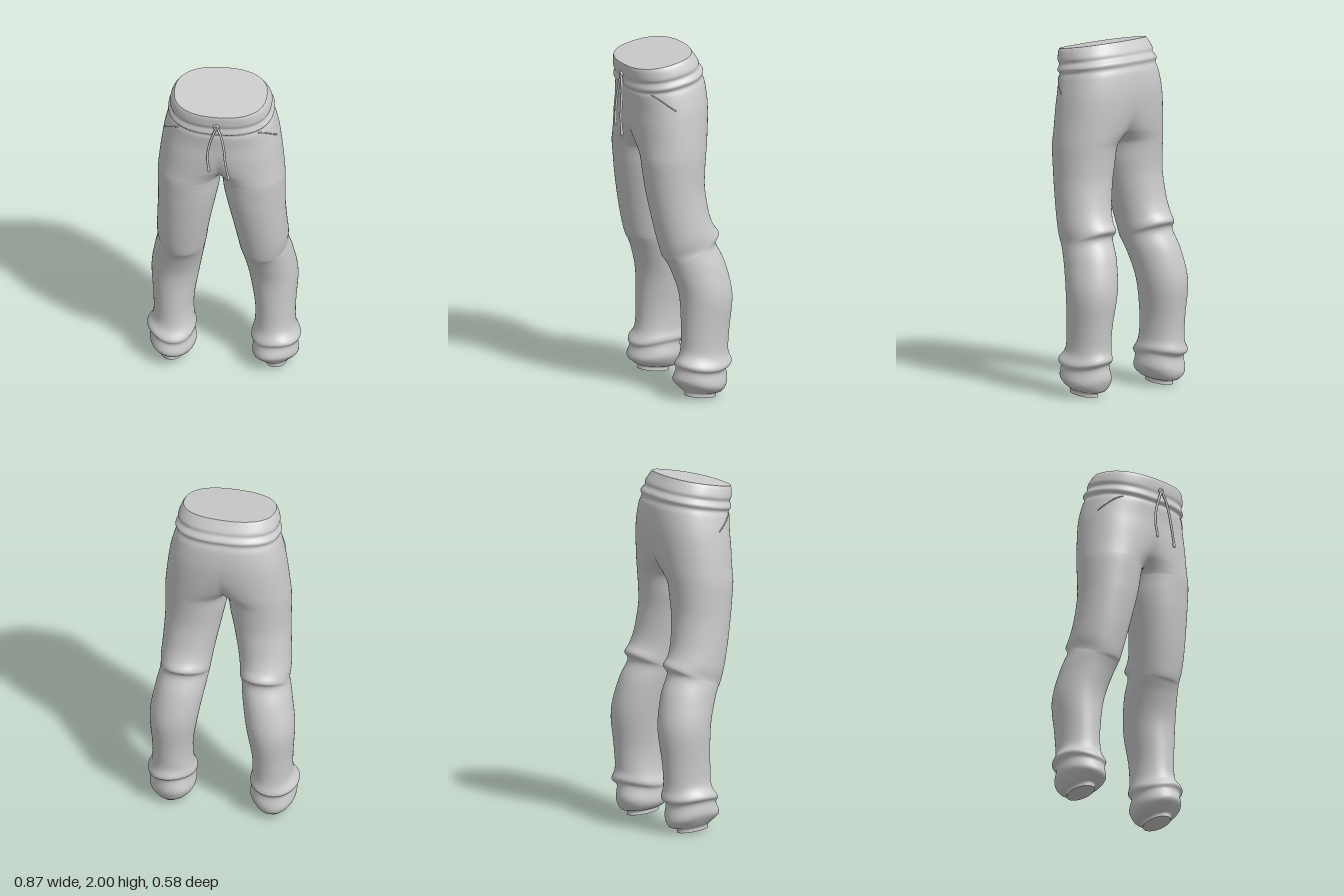
import * as THREE from 'three';
import { mergeVertices } from 'three/addons/utils/BufferGeometryUtils.js';

const V = (x, y, z) => new THREE.Vector3(x, y, z);

// Sections of one half: y, inner x, outer x, front z, back z, tilt (back raised).
// A negative inner x means the section is cut at the centre plane.
const BODY = [
  [1.965, -0.262, 0.262, 0.25, -0.135, 0.18],
  [1.945, -0.275, 0.275, 0.252, -0.147, 0.18],
  [1.905, -0.288, 0.288, 0.248, -0.172, 0.18],
  [1.88, -0.283, 0.283, 0.24, -0.178, 0.18],
  [1.85, -0.3, 0.3, 0.245, -0.2, 0.18],
  [1.825, -0.29, 0.29, 0.23, -0.195, 0.17],
  [1.79, -0.303, 0.303, 0.232, -0.21, 0.12],
  [1.7, -0.29, 0.325, 0.224, -0.217, 0.05],
  [1.6, -0.2, 0.34, 0.22, -0.207, 0],
  [1.5, -0.1, 0.352, 0.212, -0.19, 0],
  [1.45, -0.04, 0.357, 0.207, -0.178, 0],
  [1.4, 0, 0.36, 0.204, -0.167, 0],
];
const LEG = [
  [1.3, 0.015, 0.36, 0.193, -0.157, 0],
  [1.2, 0.035, 0.36, 0.18, -0.155, 0.03],
  [1.05, 0.065, 0.367, 0.15, -0.172, 0.15],
  [0.95, 0.082, 0.372, 0.122, -0.197, 0.3],
  [0.89, 0.09, 0.368, 0.102, -0.23, 0.35],
  [0.85, 0.097, 0.374, 0.082, -0.205, 0.33],
  [0.76, 0.112, 0.393, 0.053, -0.255, 0.15],
  [0.6, 0.14, 0.415, 0.015, -0.29, 0],
  [0.4, 0.172, 0.403, 0.01, -0.27, 0],
  [0.27, 0.172, 0.404, 0.018, -0.262, 0],
  [0.205, 0.157, 0.434, 0.055, -0.275, 0],
  [0.17, 0.168, 0.415, 0.045, -0.246, 0],
  [0.1, 0.16, 0.42, 0.06, -0.257, -0.05],
  [0.05, 0.19, 0.385, 0.02, -0.232, -0.1],
  [0.035, 0.232, 0.36, 0.002, -0.192, -0.12],
  [0.012, 0.235, 0.357, 0, -0.188, -0.12],
];
const ROWS = [...BODY, ...LEG];
const curveOf = (k) => new THREE.CatmullRomCurve3(ROWS.map((r) => V(r[k], r[k + 1], r[k + 2])), false, 'catmullrom', 0.5);
const shapeXY = curveOf(0), shapeZ = curveOf(3);
const CROTCH = BODY.length - 1, STEPS = 5, SEG = 56;

// Section at row position u
function sectionAt(u) {
  const a = shapeXY.getPoint(u / (ROWS.length - 1)), b = shapeZ.getPoint(u / (ROWS.length - 1));
  const xin = u < CROTCH ? Math.min(a.y, 0) : u === CROTCH ? 0 : Math.max(a.y, 0.0005);
  const cx = Math.max((xin + a.z) / 2, 0), rx = a.z - cx;
  const n = THREE.MathUtils.lerp(2.05, 2.4, THREE.MathUtils.smoothstep(a.x, 1.4, 1.75));
  return {
    y: a.x, cx, rx, n, zc: (b.x + b.y) / 2, rz: (b.x - b.y) / 2, tilt: b.z, cut: xin <= 0,
    over: xin < 0 ? Math.asin(Math.min(1, (cx / rx) ** (n / 2))) : Math.PI / 2,
  };
}

// Point on a section; angle 0 is the front, PI / 2 the outside
function pointAt(s, t, side) {
  const pow = (v) => Math.sign(v) * Math.abs(v) ** (2 / s.n);
  // bunched cloth near the ankle
  const w = THREE.MathUtils.smoothstep(s.y, 0.03, 0.09) * (1 - THREE.MathUtils.smoothstep(s.y, 0.2, 0.32));
  const k = 1 + 0.022 * w * Math.sin(3 * t + side * 1.2 + s.y * 20);
  const x = s.cx + s.rx * k * pow(Math.sin(t)), dz = s.rz * k * pow(Math.cos(t));
  return V(side * x, s.y - s.tilt * dz + 0.012 * w * Math.sin(2 * t + side), s.zc + dz);
}

function ringAt(u, side) {
  const s = sectionAt(u), ring = [];
  for (let j = 0; j <= SEG; j++) {
    const p = pointAt(s, -s.over + ((Math.PI + 2 * s.over) * j) / SEG, side);
    if (s.cut && (j === 0 || j === SEG)) p.x = 0;
    ring.push(p);
  }
  return ring;
}

function geometryFrom(points) {
  let g = new THREE.BufferGeometry().setFromPoints(points);
  g = mergeVertices(g, 1e-5);
  g.computeVertexNormals();
  return g;
}

export function createModel() {
  const model = new THREE.Group();
  const material = new THREE.MeshStandardMaterial({ color: 0xcccccc, side: THREE.DoubleSide });
  const add = (name, geometry) => {
    const mesh = new THREE.Mesh(geometry, material);
    mesh.name = name;
    model.add(mesh);
    return mesh;
  };

  // Cloth: both halves share their centre seam
  const cloth = [], waistCap = [];
  const tri = (list, side, a, b, c) => (side > 0 ? list.push(a, b, c) : list.push(a, c, b));
  for (const side of [1, -1]) {
    const rings = [];
    for (let i = 0; i <= (ROWS.length - 1) * STEPS; i++) rings.push(ringAt(i / STEPS, side));
    for (let i = 0; i < rings.length - 1; i++) {
      for (let j = 0; j < SEG; j++) {
        const a = rings[i][j], b = rings[i][j + 1], c = rings[i + 1][j], d = rings[i + 1][j + 1];
        tri(cloth, side, a, c, b);
        tri(cloth, side, b, c, d);
      }
    }
    // Closed waist and ankle openings
    const top = rings[0], hem = rings[rings.length - 1], hemCap = [];
    const mid = top[0].clone().lerp(top[SEG], 0.5), hemMid = V(0, 0, 0);
    for (let j = 0; j < SEG; j++) hemMid.addScaledVector(hem[j], 1 / SEG);
    for (let j = 0; j < SEG; j++) {
      tri(waistCap, side, mid, top[j], top[j + 1]);
      tri(hemCap, side, hemMid, hem[j + 1], hem[j]);
    }
    add(side > 0 ? 'leftAnkleOpening' : 'rightAnkleOpening', geometryFrom(hemCap));

    // Pocket seam following the hip
    const path = [];
    for (let i = 0; i <= 8; i++) {
      const f = i / 8;
      path.push(pointAt(sectionAt(5.4 + 1.5 * f), 0.8 + 0.55 * f ** 1.4, side));
    }
    add(side > 0 ? 'leftPocketSeam' : 'rightPocketSeam',
      new THREE.TubeGeometry(new THREE.CatmullRomCurve3(path), 24, 0.004, 6));
  }
  add('trousers', geometryFrom(cloth));
  add('waistOpening', geometryFrom(waistCap));

  // Drawstring: knot, small bow loop and two hanging ends
  const cord = (name, pts, r) => {
    add(name, new THREE.TubeGeometry(new THREE.CatmullRomCurve3(pts), 32, r, 8));
    const tip = add(name + 'Tip', new THREE.SphereGeometry(r * 1.25, 10, 8));
    tip.position.copy(pts[pts.length - 1]);
    tip.scale.y = 2;
  };
  cord('rightDrawstring', [V(0, 1.865, 0.255), V(-0.018, 1.82, 0.258), V(-0.044, 1.73, 0.258),
    V(-0.052, 1.65, 0.262), V(-0.043, 1.575, 0.268)], 0.007);
  cord('leftDrawstring', [V(0, 1.865, 0.255), V(0.022, 1.82, 0.262), V(0.042, 1.73, 0.272),
    V(0.052, 1.64, 0.283), V(0.07, 1.54, 0.285)], 0.007);
  const knot = add('drawstringKnot', new THREE.TorusGeometry(0.011, 0.007, 8, 18));
  knot.position.set(-0.003, 1.865, 0.255);
  return model;
}
